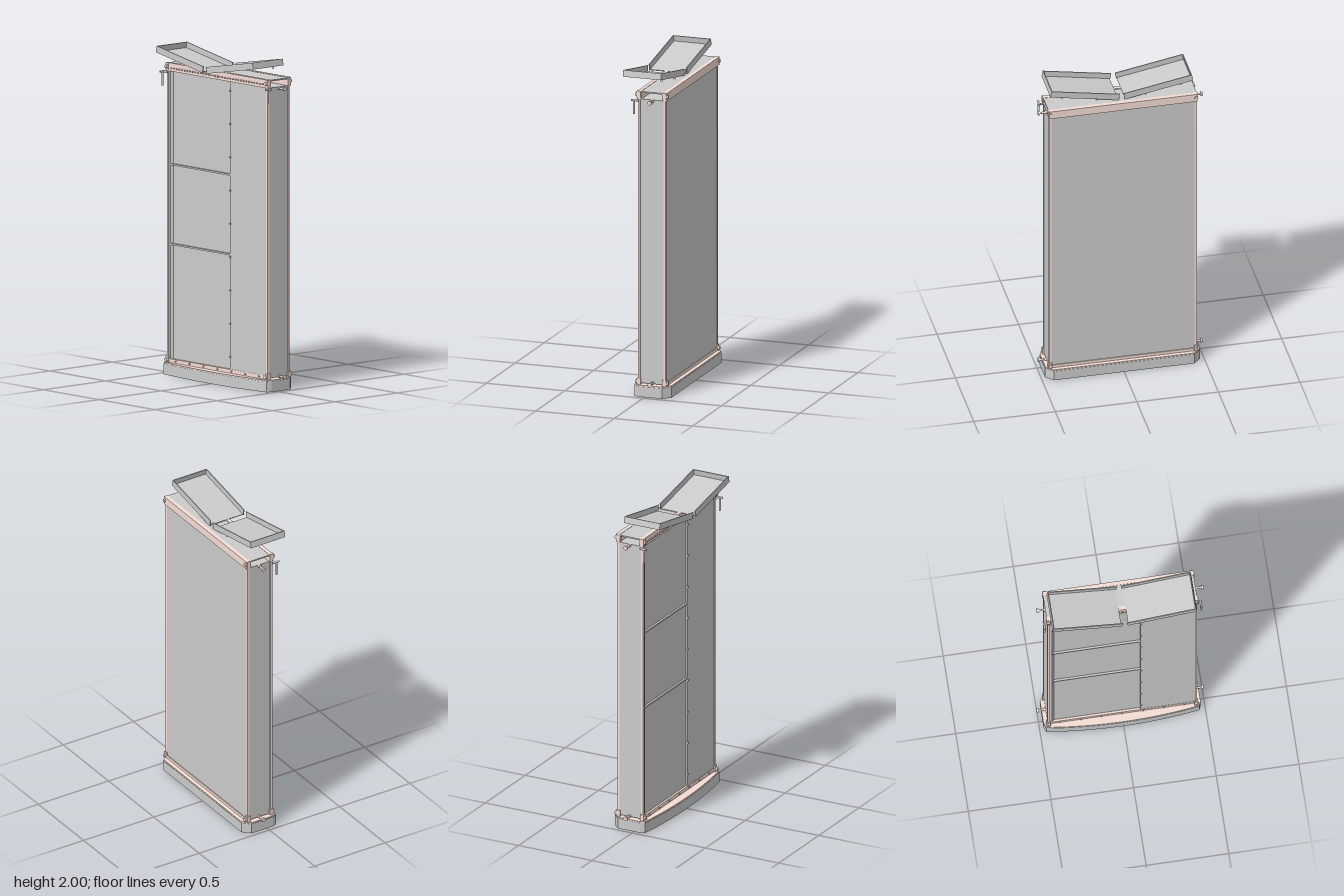
import * as THREE from 'three';

const grey = new THREE.MeshStandardMaterial({ color: 0xf3f5f4, flatShading: true });
const peach = new THREE.MeshStandardMaterial({ color: 0xf4ddd4, flatShading: true });

function add(parent, name, geo, mat, x = 0, y = 0, z = 0) {
  const m = new THREE.Mesh(geo, mat);
  m.name = name;
  m.position.set(x, y, z);
  parent.add(m);
  return m;
}

// Box given by its limits on each axis
function block(parent, name, mat, [x0, x1], [y0, y1], [z0, z1]) {
  return add(parent, name, new THREE.BoxGeometry(x1 - x0, y1 - y0, z1 - z0), mat,
    (x0 + x1) / 2, (y0 + y1) / 2, (z0 + z1) / 2);
}

// Cylinder lying along an axis
function rod(parent, name, mat, axis, r, len, x, y, z) {
  const g = new THREE.CylinderGeometry(r, r, len, 12);
  if (axis === 'x') g.rotateZ(Math.PI / 2);
  if (axis === 'z') g.rotateX(Math.PI / 2);
  return add(parent, name, g, mat, x, y, z);
}

// Upright prism over a plan outline of [x, z] points
function prism(parent, name, mat, outline, y0, y1) {
  const shape = new THREE.Shape(outline.map(([x, z]) => new THREE.Vector2(x, -z)));
  const g = new THREE.ExtrudeGeometry(shape, { depth: y1 - y0, bevelEnabled: false });
  g.rotateX(-Math.PI / 2);
  return add(parent, name, g, mat, 0, y0, 0);
}

// Plinth outline: chamfered back corners, bowed front; i shrinks it
function plinthOutline(i) {
  const pts = [[-0.43 + i / 2, -0.155 + i], [0.43 - i / 2, -0.155 + i],
    [0.475 - i, -0.11 + i / 2], [0.475 - i, 0.04]];
  for (let k = 0; k <= 16; k++) {
    const t = 1 - k / 8;
    pts.push([t * (0.463 - i), 0.07 - i + 0.033 * (1 - t * t)]);
  }
  pts.push([-0.475 + i, 0.04], [-0.475 + i, -0.11 + i / 2]);
  return pts;
}

// Tray leaning outwards on one side, open at its inner end
function tray(s) {
  const g = new THREE.Group();
  g.name = s > 0 ? 'leftTray' : 'rightTray';
  const L = 0.425, H = 0.04, T = 0.006;
  const span = (a, b) => (s > 0 ? [a, b] : [-b, -a]);
  block(g, 'trayFloor', grey, span(0.003, L), [0, 0.005], [-0.09, 0.153]);
  block(g, 'trayEnd', grey, span(L - T, L), [0, H], [-0.09, 0.153]);
  for (const z of [-0.09, 0.153 - T]) block(g, 'traySide', grey, span(0, L), [0, H], [z, z + T]);
  for (const x of [0.13, 0.35]) rod(g, 'trayFoot', peach, 'y', 0.007, 0.014, s * x, -0.007, -0.07);
  g.position.set(s * 0.019, 1.886, 0);
  g.rotation.z = s * 0.178;
  return g;
}

export function createModel() {
  const model = new THREE.Group();
  model.name = 'cabinet';

  // Plinth with a coloured top
  prism(model, 'plinth', grey, plinthOutline(0), 0, 0.064);
  prism(model, 'plinthTop', peach, plinthOutline(0.002), 0.064, 0.072);

  // Body with a shallow bay on its right and a flush panel on its left
  block(model, 'body', grey, [-0.45, 0.45], [0.08, 1.838], [-0.122, 0.034]);
  block(model, 'frontPanel', grey, [0.11, 0.44], [0.095, 1.838], [0.034, 0.046]);
  prism(model, 'bayJamb', grey, [[-0.44, 0.034], [-0.412, 0.034], [-0.424, 0.046], [-0.44, 0.046]], 0.095, 1.838);
  for (const y of [0.79, 1.273])
    block(model, 'shelf', grey, [-0.438, 0.11], [y - 0.005, y + 0.005], [0.034, 0.047]);
  for (let i = 0; i < 9; i++)
    block(model, 'hingePin', peach, [0.107, 0.118], [0.167 + i * 0.2015, 0.175 + i * 0.2015], [0.04, 0.052]);

  // Rails at the bottom and the top, and the lid
  block(model, 'bottomFrontRail', peach, [-0.44, 0.44], [0.072, 0.095], [0.03, 0.048]);
  block(model, 'bottomBackRail', peach, [-0.44, 0.44], [0.072, 0.09], [-0.128, -0.11]);
  block(model, 'topFrontRail', peach, [-0.455, 0.455], [1.838, 1.888], [0.028, 0.052]);
  block(model, 'topBackRail', peach, [-0.455, 0.455], [1.838, 1.888], [-0.135, -0.11]);
  block(model, 'lid', grey, [-0.455, 0.455], [1.878, 1.886], [-0.11, 0.028]);
  for (let i = -17; i <= 17; i++)
    rod(model, 'railRivet', peach, 'z', i === 0 ? 0.009 : 0.005, 0.01, i * 0.024, 1.858, 0.053);
  for (let i = -3; i <= 3; i++)
    rod(model, 'bottomRivet', peach, 'z', 0.005, 0.008, i * 0.125, 0.084, 0.05);

  for (const s of [-1, 1]) {
    // Corner posts with end fittings and bolts
    for (const [z, out] of [[0.044, 1], [-0.118, -1]]) {
      block(model, 'post', peach, [s * 0.446 - 0.007, s * 0.446 + 0.007], [0.08, 1.85], [z - 0.007, z + 0.007]);
      for (const y of [0.088, 1.865]) {
        block(model, 'cornerFitting', peach, [s * 0.447 - 0.012, s * 0.447 + 0.012],
          [y - 0.018, y + 0.022], [z - 0.013, z + 0.013]);
        rod(model, 'cornerBolt', peach, 'z', 0.011, 0.012, s * 0.446, y, z + out * 0.018);
      }
    }
    // Side knobs
    for (const y of [0.085, 1.83]) {
      rod(model, 'knobStem', peach, 'x', 0.006, 0.06, s * 0.465, y, -0.042);
      rod(model, 'knob', peach, 'x', 0.013, 0.012, s * 0.499, y, -0.042);
      rod(model, 'knobCollar', peach, 'x', 0.01, 0.014, s * 0.455, y, -0.042);
    }
    // Hanging handles by the front corners
    rod(model, 'handlePivot', peach, 'x', 0.006, 0.03, s * 0.457, 1.83, 0.055);
    rod(model, 'handleArm', grey, 'z', 0.006, 0.046, s * 0.474, 1.833, 0.063);
    rod(model, 'handleGrip', grey, 'y', 0.006, 0.085, s * 0.474, 1.79, 0.068);

    model.add(tray(s));
  }
  // Bracket carrying the inner tray ends
  block(model, 'trayBracket', peach, [-0.02, 0.02], [1.884, 1.892], [0.028, 0.052]);
  return model;
}
